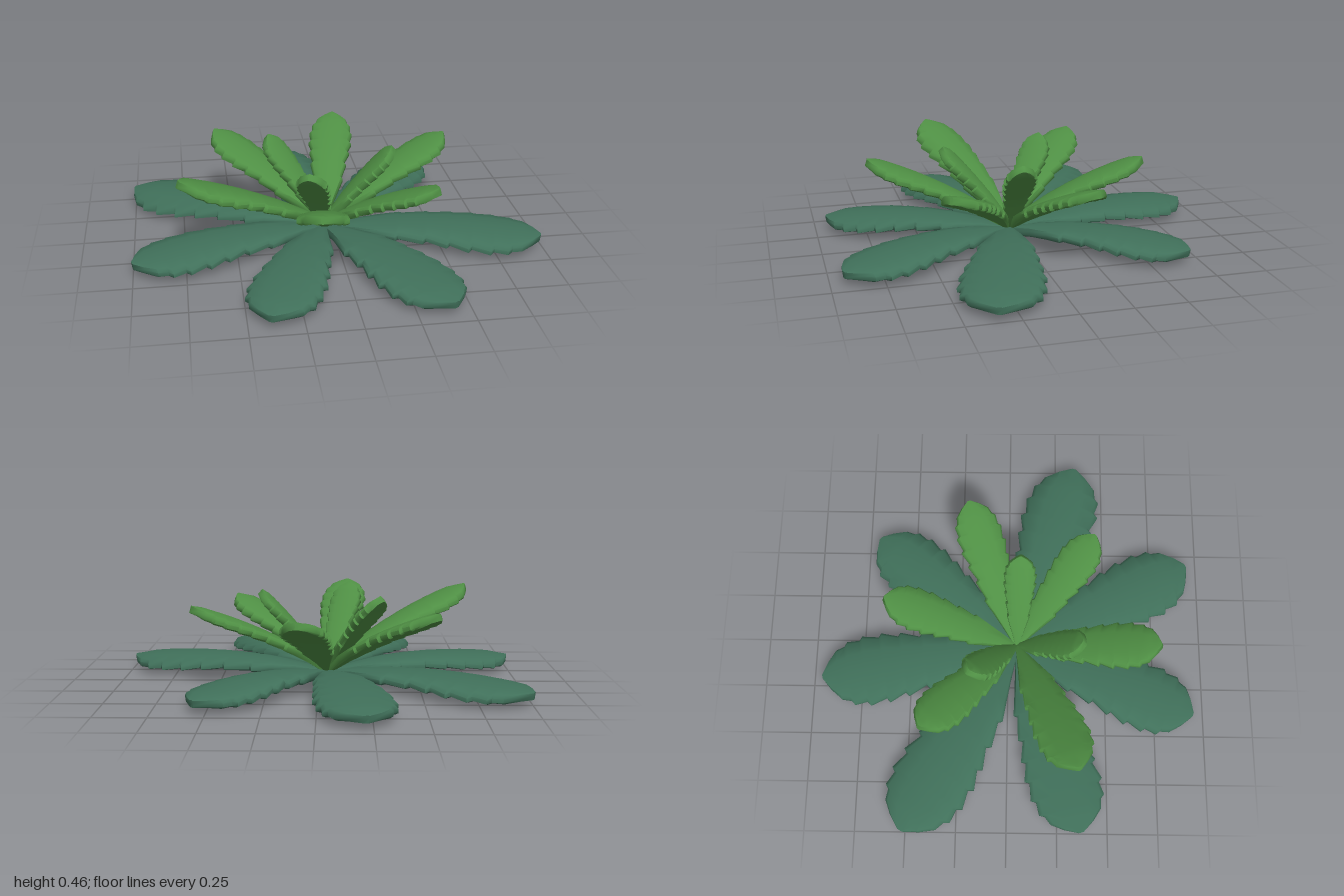
import * as THREE from 'three';
import { toCreasedNormals } from 'three/addons/utils/BufferGeometryUtils.js';

// Saw-toothed leaf outline: [distance along the leaf, half width], as fractions of length
const OUTLINE = [
  [0, 0.008], [0.15, 0.06], [0.26, 0.1], [0.34, 0.13], [0.355, 0.115], [0.47, 0.15], [0.485, 0.13],
  [0.58, 0.17], [0.595, 0.15], [0.68, 0.185], [0.695, 0.163], [0.78, 0.185],
  [0.795, 0.163], [0.86, 0.168], [0.875, 0.145], [0.92, 0.13], [0.965, 0.075], [1, 0.012],
];

// Cross-section loop: [side, height], over the top and back underneath, with a bevelled rim
const SECTION = [
  [-1, 0.35], [-0.9, 0.9], [-0.5, 1], [0, 1], [0.5, 1], [0.9, 0.9], [1, 0.35],
  [1, -0.5], [0.9, -0.95], [0.45, -1], [-0.45, -1], [-0.9, -0.95], [-1, -0.5],
];

// Solid leaf growing along +x from the origin, arched along its length and across its width
function leafGeometry({ reach, startY, tipY, arch, width, thick, droop }) {
  const spine = new THREE.QuadraticBezierCurve3(
    new THREE.Vector3(0, startY, 0),
    new THREE.Vector3(reach / 2, (startY + tipY) / 2 + arch, 0),
    new THREE.Vector3(reach, tipY, 0));
  const length = Math.hypot(reach, tipY - startY);
  const n = SECTION.length;
  const positions = [], index = [];

  OUTLINE.forEach(([t, half], i) => {
    const p = spine.getPoint(t), tan = spine.getTangent(t);
    const up = new THREE.Vector3(-tan.y, tan.x, 0);
    const halfWidth = half * width * length;
    const halfThick = thick * (t > 0.95 ? 0.8 : 1);
    for (const [s, h] of SECTION) {
      const side = s * halfWidth;
      const q = p.clone().addScaledVector(up, h * halfThick - droop * side * side);
      positions.push(q.x, q.y, side);
    }
    if (i === 0) return;
    for (let j = 0; j < n; j++) {
      const k = (j + 1) % n;
      const a = (i - 1) * n + j, b = (i - 1) * n + k, c = i * n + j, d = i * n + k;
      index.push(a, b, c, b, d, c);
    }
  });

  // Close both ends
  const last = (OUTLINE.length - 1) * n;
  for (let j = 1; j < n - 1; j++) {
    index.push(0, j + 1, j, last, last + j, last + j + 1);
  }
  const geometry = new THREE.BufferGeometry();
  geometry.setAttribute('position', new THREE.Float32BufferAttribute(positions, 3));
  geometry.setIndex(index);
  return toCreasedNormals(geometry, 0.9);
}

export function createModel() {
  const darkGreen = new THREE.MeshStandardMaterial({ color: 0x40705a });
  darkGreen.name = 'dark blue green';
  const freshGreen = new THREE.MeshStandardMaterial({ color: 0x4f8f44 });
  freshGreen.name = 'fresh green';

  const model = new THREE.Group();
  model.name = 'rosettePlant';
  const centreX = -0.045, centreZ = 0.045;

  // Each leaf is aimed at its tip: [x, z, tip height]
  function addLeaves(name, tips, material, options) {
    const group = new THREE.Group();
    group.name = name + 'Ring';
    group.position.set(centreX, 0, centreZ);
    for (const [x, z, tipY] of tips) {
      const dx = x - centreX, dz = z - centreZ;
      const leaf = new THREE.Mesh(
        leafGeometry({ reach: Math.hypot(dx, dz), tipY, ...options }), material);
      leaf.name = name;
      leaf.rotation.y = Math.atan2(-dz, dx);
      group.add(leaf);
    }
    model.add(group);
  }

  // Broad leaves lying on the ground
  addLeaves('groundLeaf', [
    [-0.22, -0.95, 0.05], [0.56, -0.69, 0.05], [0.99, 0.35, 0.05], [0.42, 0.935, 0.05],
    [-0.4, 0.94, 0.05], [-1, 0.37, 0.05], [-1, -0.52, 0.05],
  ], darkGreen, { startY: 0.023, arch: 0.09, width: 1, thick: 0.023, droop: 0.8 });

  // Rising middle leaves
  addLeaves('middleLeaf', [
    [0.09, -0.62, 0.39], [0.62, -0.21, 0.4], [0.45, 0.44, 0.37],
    [-0.15, 0.75, 0.41], [-0.77, 0.34, 0.44], [-0.57, -0.42, 0.4],
  ], freshGreen, { startY: 0.05, arch: 0.07, width: 0.82, thick: 0.023, droop: 1.4 });

  // Small steep leaves at the heart
  addLeaves('heartLeaf', [
    [0.3, 0.06, 0.45], [-0.16, 0.37, 0.45], [-0.31, -0.19, 0.45],
  ], freshGreen, { startY: 0.05, arch: 0.04, width: 0.85, thick: 0.022, droop: 1.6 });

  return model;
}
